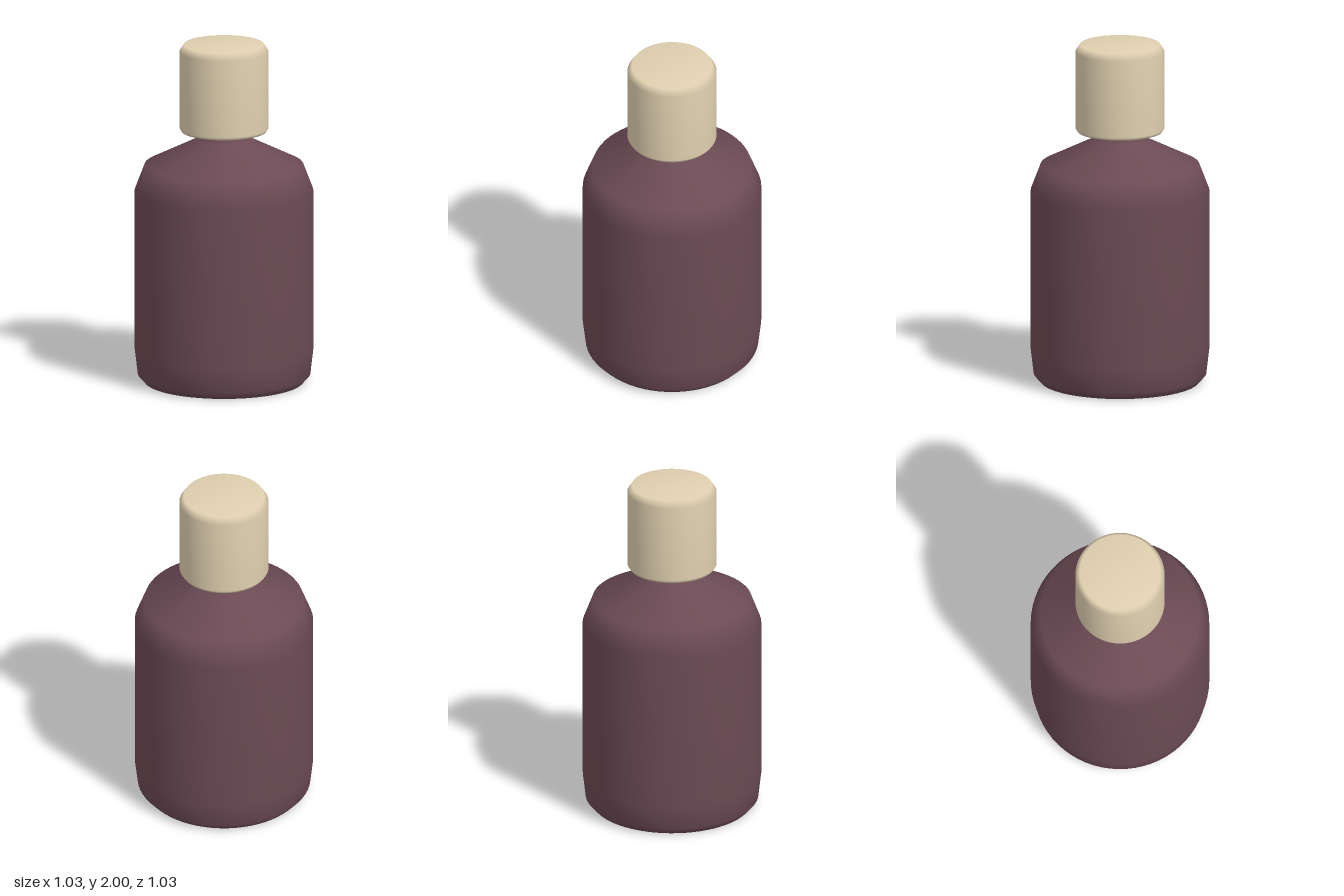
import * as THREE from 'three';

// Revolves a [radius, height] profile, listed from bottom to top, around the y axis
function turned(name, profile, color) {
  const points = profile.map(([r, y]) => new THREE.Vector2(r, y));
  const mesh = new THREE.Mesh(
    new THREE.LatheGeometry(points, 64),
    new THREE.MeshStandardMaterial({ color })
  );
  mesh.name = name;
  return mesh;
}

export function createModel() {
  const group = new THREE.Group();
  group.name = 'bottle';

  // Body: chamfered base, straight wall, sloped shoulder and narrow neck
  group.add(turned('body', [
    [0, 0], [0.46, 0], [0.5, 0.045], [0.517, 0.19], [0.517, 1.135],
    [0.46, 1.285], [0.15, 1.44], [0.15, 1.52],
  ], 0x6b4a54));

  // Cap: closed cylinder with a softened lower rim and a bevelled top
  group.add(turned('cap', [
    [0, 1.487], [0.247, 1.487], [0.258, 1.505], [0.258, 1.96],
    [0.232, 2], [0, 2],
  ], 0xe0d0b0));

  return group;
}
